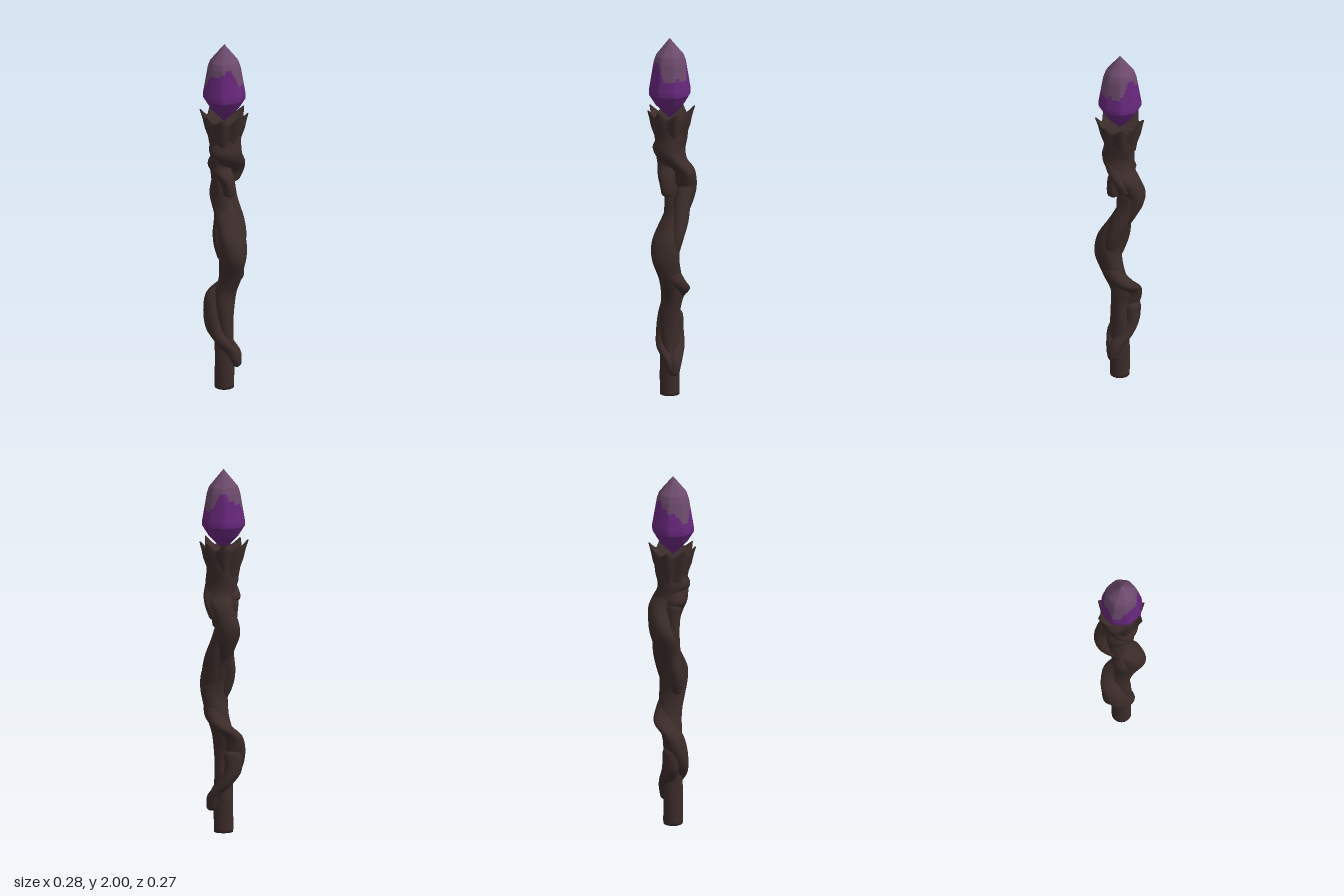
import * as THREE from 'three';

const mat = (name, color) => {
  const m = new THREE.MeshStandardMaterial({ color });
  m.name = name;
  return m;
};

// Closed-loop loft: point(row, angle) gives each vertex; paint(y, angle) picks a material slot.
function loft(rows, sides, point, paint = () => 0) {
  const pos = [], faces = [[], []];
  for (let j = 0; j <= rows; j++)
    for (let i = 0; i < sides; i++) pos.push(...point(j, (i / sides) * Math.PI * 2));
  for (let j = 0; j < rows; j++)
    for (let i = 0; i < sides; i++) {
      const k = (i + 1) % sides;
      const a = j * sides + i, b = j * sides + k, c = a + sides, d = b + sides;
      const y = (pos[a * 3 + 1] + pos[c * 3 + 1]) / 2;
      faces[paint(y, ((i + 0.5) / sides) * Math.PI * 2)].push(a, c, b, b, c, d);
    }
  const g = new THREE.BufferGeometry();
  g.setAttribute('position', new THREE.Float32BufferAttribute(pos, 3));
  g.setIndex([...faces[0], ...faces[1]]);
  g.addGroup(0, faces[0].length, 0);
  g.addGroup(faces[0].length, faces[1].length, 1);
  g.computeVertexNormals();
  return g;
}

// Gnarled strand through [x, y, z, radius] stations, with rounded ends.
function strand(stations, rows, round = 0.08) {
  const path = new THREE.CatmullRomCurve3(stations.map(s => new THREE.Vector3(s[0], s[1], s[2])));
  const radii = new THREE.SplineCurve(stations.map((s, i) => new THREE.Vector2(i, s[3])));
  return loft(rows, 20, (j, a) => {
    const t = Math.max(0, (j - 1) / (rows - 1));
    const p = path.getPoint(t);
    const e = Math.min(1, (Math.min(t, 1 - t) + 0.012) / round);
    const end = j === 0 ? 0 : Math.sqrt(1 - (1 - e) ** 2);
    const bark = 1 + 0.05 * Math.sin(3 * a - p.y * 16) * Math.min(1, p.y * 4);
    const r = radii.getPoint(t).y * end * bark;
    return [p.x + r * Math.cos(a), p.y, p.z + r * Math.sin(a)];
  });
}

export function createModel() {
  const group = new THREE.Group();
  const bark = mat('dark bark', 0x3b2c2a);
  const purple = mat('crystal purple', 0x66267a);
  const mauve = mat('crystal mauve', 0x6c4a6c);
  const add = (name, geometry, material) => {
    const m = new THREE.Mesh(geometry, material);
    m.name = name;
    group.add(m);
  };

  // Winding main shaft
  add('shaft', strand([
    [0, 0, 0, 0.053], [0, 0.15, 0, 0.053], [0, 0.3, 0, 0.051], [-0.002, 0.45, 0, 0.053],
    [-0.005, 0.55, -0.012, 0.058], [0.03, 0.65, -0.02, 0.062], [0.062, 0.77, -0.012, 0.074],
    [0.05, 0.87, -0.01, 0.076], [0.015, 0.95, -0.015, 0.066], [-0.02, 1.01, -0.025, 0.065],
    [-0.066, 1.1, -0.038, 0.066], [-0.076, 1.17, -0.052, 0.062], [-0.045, 1.26, -0.062, 0.062],
    [0, 1.32, -0.025, 0.076], [0.008, 1.38, 0, 0.088], [0, 1.45, -0.012, 0.083],
    [-0.003, 1.55, -0.005, 0.09],
  ], 150, 0.013), bark);

  // Roots wrapped around the shaft
  const vines = {
    frontVine: [[0.045, 0.12, -0.05, 0.026], [0.04, 0.2, -0.02, 0.034], [0.025, 0.27, 0.025, 0.04],
      [-0.02, 0.34, 0.042, 0.05], [-0.05, 0.44, 0.033, 0.058], [-0.06, 0.53, 0.01, 0.056],
      [-0.03, 0.59, -0.045, 0.055], [0.025, 0.65, -0.045, 0.055], [0.06, 0.74, -0.02, 0.05]],
    backVine: [[0.04, 0.12, -0.05, 0.03], [0.022, 0.2, -0.046, 0.039], [-0.03, 0.27, -0.022, 0.044],
      [-0.06, 0.34, 0.005, 0.048], [-0.062, 0.46, 0.01, 0.05]],
    upperBackVine: [[0.06, 0.76, -0.02, 0.048], [0.04, 0.88, -0.056, 0.048], [0.01, 0.97, -0.066, 0.048],
      [-0.03, 1.08, -0.058, 0.047], [-0.07, 1.18, -0.06, 0.05]],
    upperFrontVine: [[0.02, 0.73, 0.012, 0.03], [-0.008, 0.83, 0.022, 0.036], [-0.02, 0.9, 0.02, 0.037],
      [-0.02, 1, 0.008, 0.037], [-0.03, 1.1, 0, 0.045], [-0.035, 1.2, 0.005, 0.045],
      [-0.04, 1.3, 0.012, 0.05]],
    knot: [[0.037, 1.12, -0.005, 0.03], [0.034, 1.17, -0.004, 0.037], [0.02, 1.23, 0.008, 0.045],
      [-0.025, 1.29, 0.02, 0.06], [-0.01, 1.34, 0.025, 0.058], [0.03, 1.39, 0.01, 0.06]],
    backKnot: [[-0.03, 1.18, -0.07, 0.045], [-0.01, 1.25, -0.085, 0.045], [0.02, 1.31, -0.06, 0.05],
      [0.04, 1.38, -0.02, 0.05]],
  };
  for (const [name, stations] of Object.entries(vines)) add(name, strand(stations, 44), bark);

  // Flared cup with ragged pointed teeth: outer wall, rim, inner wall, floor
  const wall = [[0.078, 1.41], [0.086, 1.46], [0.103, 1.51], [0.108, 1.55], [0.108, 1.565],
    [0.1, 1.565], [0.085, 1.555], [0, 1.55]];
  add('crown', loft(wall.length - 1, 72, (j, a) => {
    const saw = Math.abs((((a * 8) / (Math.PI * 2)) % 1) * 2 - 1);
    const tooth = saw ** 1.5 * (0.85 + 0.15 * Math.cos(3 * a));
    const [r0, y0] = wall[j];
    const rim = j === 4 || j === 5 ? 1 : j === 3 ? 0.2 : 0;
    const r = r0 * (1 + (j < 4 ? 0.06 * Math.cos(8 * a) : 0)) + rim * 0.03 * tooth;
    return [r * Math.cos(a) - 0.003, y0 + rim * 0.048 * tooth, r * Math.sin(a) - 0.004];
  }), bark);

  // Eight-sided crystal, purple below and mauve above an uneven line
  const profile = [[0, 1.55], [0.035, 1.585], [0.078, 1.63], [0.115, 1.69], [0.115, 1.715],
    [0.089, 1.87], [0.077, 1.905], [0, 2]];
  const at = y => {
    const k = Math.max(1, profile.findIndex(p => p[1] >= y - 1e-6));
    const [r0, y0] = profile[k - 1], [r1, y1] = profile[k];
    return r0 + ((r1 - r0) * (y - y0)) / (y1 - y0);
  };
  const boundary = a => {
    const s = Math.sin(2 * a + 0.2) * 0.05 + Math.sin(5 * a) * 0.02;
    return 1.815 + Math.round(s / 0.02) * 0.02;
  };
  add('crystal', loft(90, 64, (j, a) => {
    const y = 1.55 + j * 0.005;
    const side = Math.PI / 4;
    const facet = Math.cos(side / 2) / Math.cos((a % side) - side / 2);
    const r = at(Math.min(y, 2)) * (0.35 + 0.65 * facet) * 1.01;
    return [r * Math.cos(a), y, r * Math.sin(a)];
  }, (y, a) => (y > boundary(a) ? 1 : 0)), [purple, mauve]);

  return group;
}
